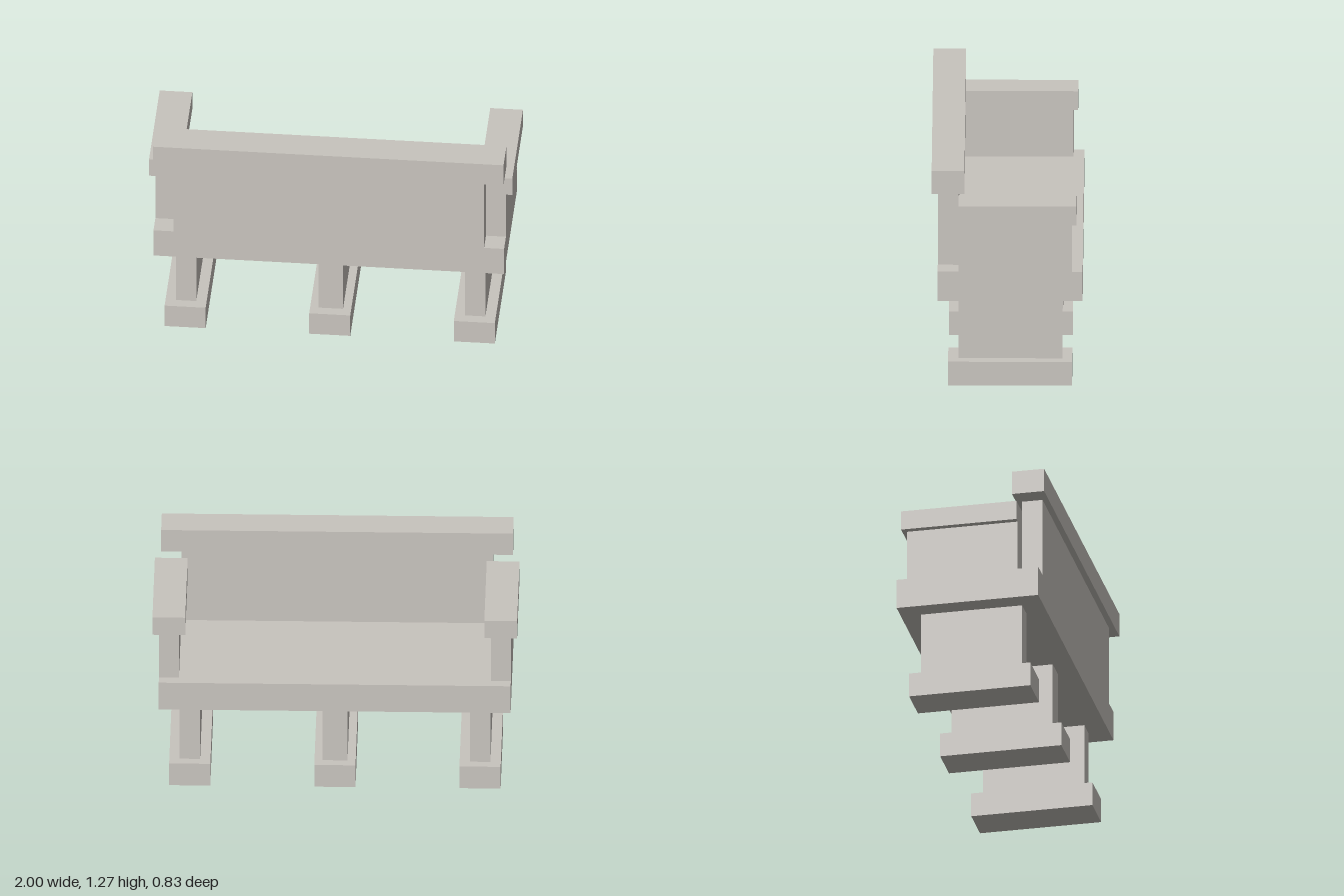
import * as THREE from 'three';

export function createModel() {
  const model = new THREE.Group();
  const stone = new THREE.MeshStandardMaterial({ color: 0xc8c4be });
  stone.name = 'stone';

  // Block given by its extents on each axis
  function block(name, [x0, x1], [y0, y1], [z0, z1]) {
    const mesh = new THREE.Mesh(new THREE.BoxGeometry(x1 - x0, y1 - y0, z1 - z0), stone);
    mesh.position.set((x0 + x1) / 2, (y0 + y1) / 2, (z0 + z1) / 2);
    mesh.name = name;
    model.add(mesh);
  }

  // Seat slab, and backrest with its top rail
  block('seat', [-0.965, 0.965], [0.515, 0.685], [-0.413, 0.382]);
  block('backrest', [-0.855, 0.855], [0.685, 1.14], [0.268, 0.382]);
  block('backrestRail', [-0.965, 0.965], [1.14, 1.275], [0.235, 0.415]);

  // Arm panels with overhanging caps
  for (const [side, s] of [['left', 1], ['right', -1]]) {
    const span = (a, b) => (s > 0 ? [a, b] : [-b, -a]);
    block(side + 'ArmPanel', span(0.855, 0.965), [0.685, 0.97], [-0.355, 0.267]);
    block(side + 'ArmCap', span(0.82, 1), [0.97, 1.08], [-0.38, 0.267]);
  }

  // Three legs on wider feet
  const legs = [['right', -0.796, 0.056], ['middle', 0, 0.068], ['left', 0.796, 0.056]];
  for (const [side, x, half] of legs) {
    block(side + 'Leg', [x - half, x + half], [0.138, 0.515], [-0.302, 0.267]);
    block(side + 'Foot', [x - 0.113, x + 0.113], [0, 0.138], [-0.355, 0.325]);
  }

  return model;
}
